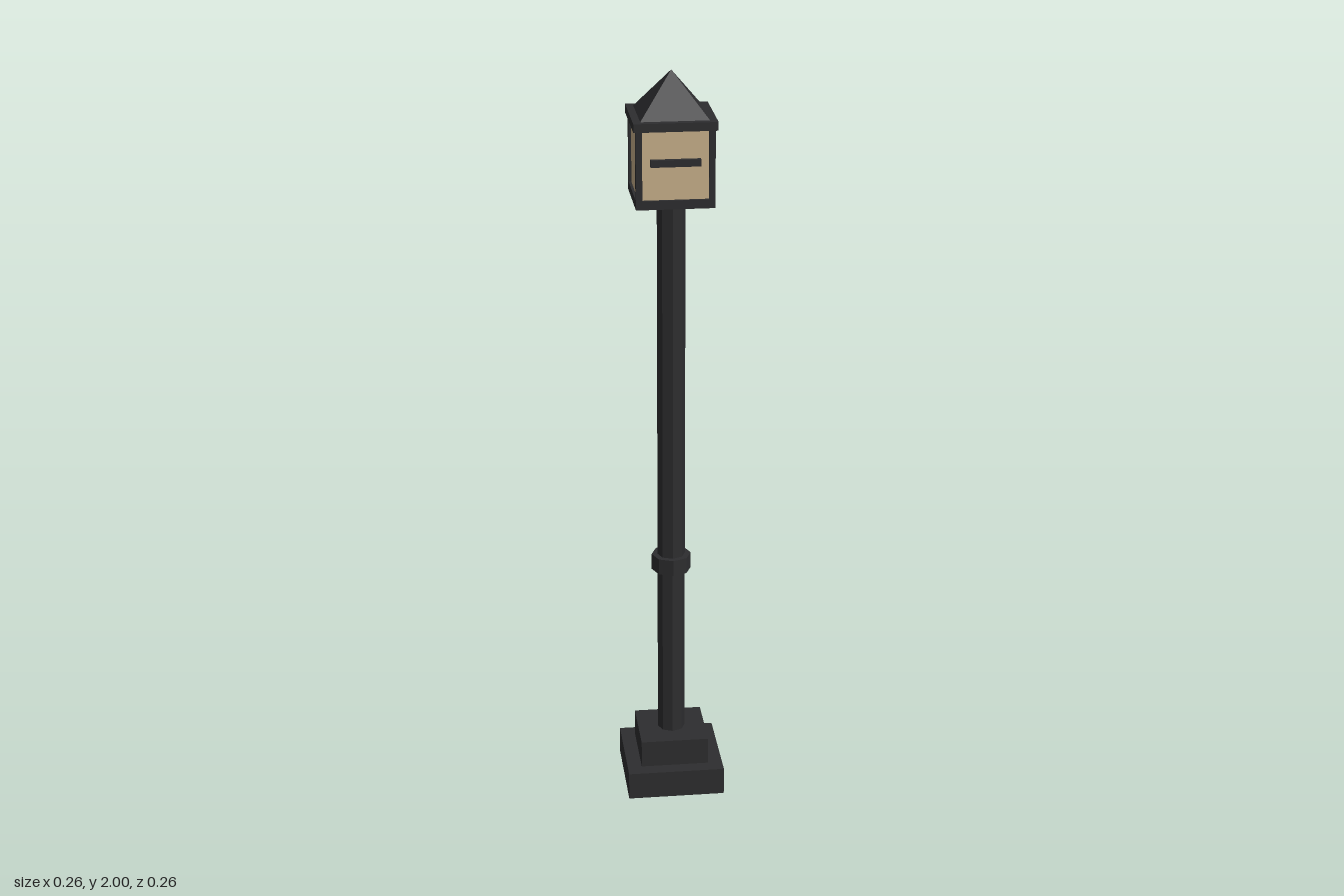
import * as THREE from 'three';

export function createModel() {
  const group = new THREE.Group();
  const iron = new THREE.MeshStandardMaterial({ color: 0x2d2d2f, flatShading: true });
  iron.name = 'dark iron';
  const glass = new THREE.MeshStandardMaterial({ color: 0xc9b18b, flatShading: true });
  glass.name = 'warm glass';

  const add = (name, geometry, material, x, y, z) => {
    const mesh = new THREE.Mesh(geometry, material);
    mesh.name = name;
    mesh.position.set(x, y, z);
    group.add(mesh);
    return mesh;
  };
  // Square slab between two heights
  const slab = (name, half, y0, y1, material = iron) =>
    add(name, new THREE.BoxGeometry(half * 2, y1 - y0, half * 2), material, 0, (y0 + y1) / 2, 0);
  // Eight-sided column between two heights
  const column = (name, radius, y0, y1) =>
    add(name, new THREE.CylinderGeometry(radius, radius, y1 - y0, 8), iron, 0, (y0 + y1) / 2, 0);

  // Stepped foot
  slab('base', 0.131, 0, 0.076);
  slab('baseStep', 0.092, 0.076, 0.151);

  // Post with collar
  column('post', 0.037, 0.151, 1.668);
  column('collar', 0.053, 0.632, 0.676);

  // Lantern
  slab('lanternFloor', 0.1, 1.668, 1.691);
  slab('lanternGlass', 0.093, 1.691, 1.868, glass);
  for (const x of [-1, 1]) {
    for (const z of [-1, 1]) {
      add('cornerPost', new THREE.BoxGeometry(0.016, 0.177, 0.016), iron, x * 0.092, 1.7795, z * 0.092);
    }
  }
  slab('lanternRim', 0.106, 1.868, 1.89);

  // Crossbar on the front pane
  add('frontBar', new THREE.BoxGeometry(0.127, 0.018, 0.013), iron, 0, 1.787, 0.0985);

  // Pyramid roof, turned square to the lantern
  const roof = new THREE.ConeGeometry(0.087 * Math.SQRT2, 0.11, 4);
  roof.rotateY(Math.PI / 4);
  add('roof', roof, iron, 0, 1.945, 0);

  return group;
}
